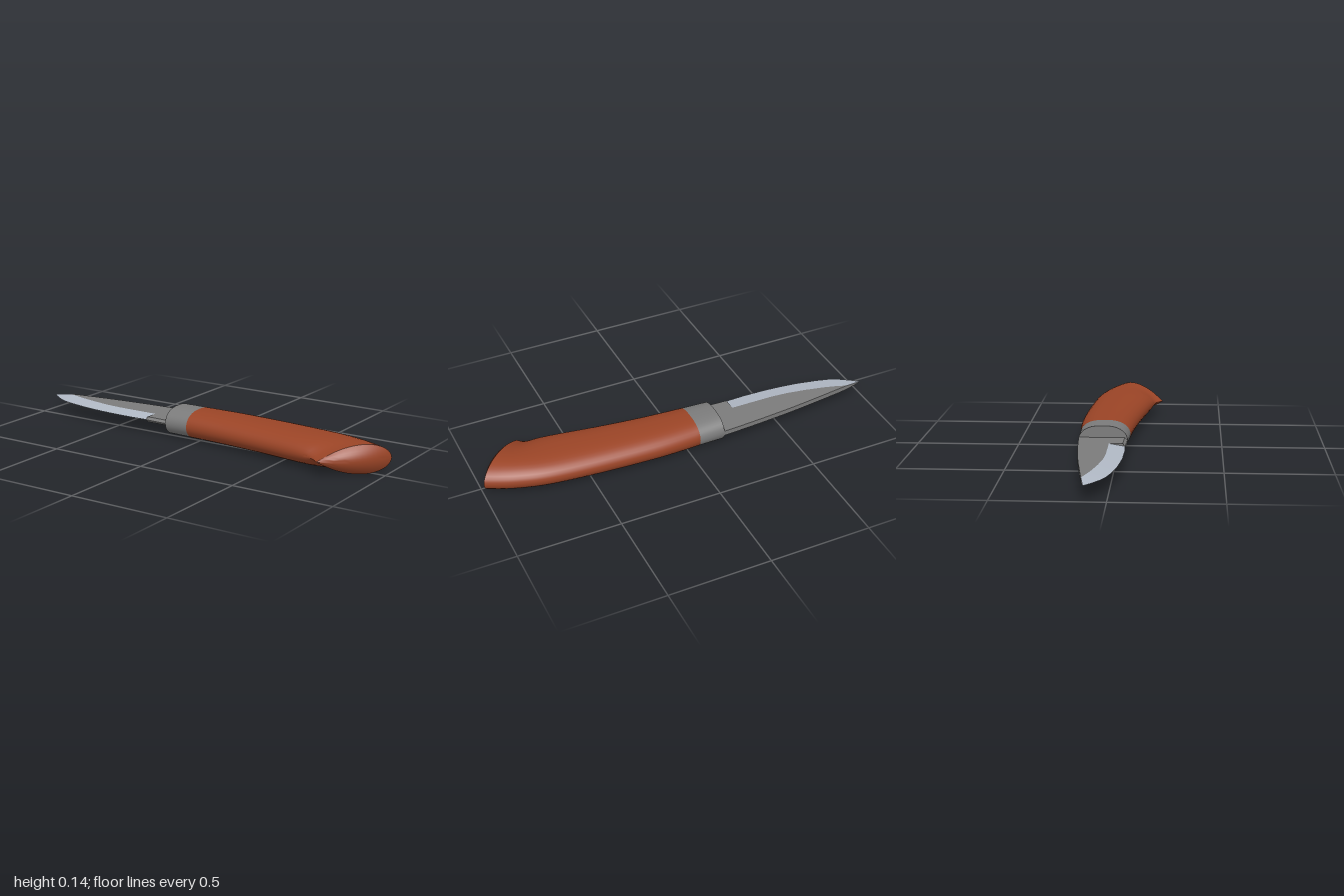
import * as THREE from 'three';
import { toCreasedNormals } from 'three/addons/utils/BufferGeometryUtils.js';

const MID = 0.07; // height of the knife's centre plane
const HALF = 0.07; // half thickness of the grip

const handleMat = new THREE.MeshStandardMaterial({ color: 0x9a4426 });
handleMat.name = 'handle wood';
const steelMat = new THREE.MeshStandardMaterial({ color: 0x7b7b7b });
steelMat.name = 'dark steel';
const edgeMat = new THREE.MeshStandardMaterial({ color: 0xb0b8c4 });
edgeMat.name = 'ground edge';

// Skins rows of [x, y, z] points; rows may be closed loops with end caps.
function loft(name, rows, material, { closed = true, start = false, end = false, crease = 0.6 } = {}) {
  const n = rows[0].length;
  const index = [];
  for (let r = 0; r < rows.length - 1; r++) {
    for (let i = 0; i < (closed ? n : n - 1); i++) {
      const a = r * n + i, b = r * n + (i + 1) % n;
      index.push(a, b, a + n, b, b + n, a + n);
    }
  }
  const last = (rows.length - 1) * n;
  for (let i = 1; i < n - 1; i++) {
    if (start) index.push(0, i + 1, i);
    if (end) index.push(last, last + i, last + i + 1);
  }
  const geo = new THREE.BufferGeometry();
  geo.setAttribute('position', new THREE.Float32BufferAttribute(rows.flat(2), 3));
  geo.setIndex(index);
  const mesh = new THREE.Mesh(toCreasedNormals(geo, crease), material);
  mesh.name = name;
  return mesh;
}

// Half thickness across the grip: u = 0 at the back, 1 at the front
const oval = (u) => HALF * Math.sqrt(Math.max(0, 1 - Math.abs(2 * u - 1) ** 2.6));
const beak = (u) => (u < 0.36
  ? HALF * Math.sqrt(Math.max(0, 1 - ((0.36 - u) / 0.36) ** 2))
  : HALF * (1 - ((u - 0.36) / 0.64) ** 2));

const SIDE = 20;
const across = (i) => (1 - Math.cos(Math.PI * i / SIDE)) / 2;

// Cross-section between a back and a front point, blending from oval to beak
function section(back, front, blend) {
  const ring = [];
  for (let i = 0; i < 2 * SIDE; i++) {
    const u = across(i <= SIDE ? i : 2 * SIDE - i);
    const h = THREE.MathUtils.lerp(oval(u), beak(u), blend) * (i <= SIDE ? 1 : -1);
    const p = back.clone().lerp(front, u);
    ring.push([p.x, MID + h, p.y]);
  }
  return ring;
}

const points = (list) => list.map(([x, z]) => new THREE.Vector2(x, z));

export function createModel() {
  const knife = new THREE.Group();
  knife.name = 'knife';

  // Handle: sections fan out towards the slanted butt
  const back = new THREE.SplineCurve(points([[-0.05, -0.19], [0.15, -0.197], [0.4, -0.187],
    [0.62, -0.17], [0.75, -0.151], [0.86, -0.12], [0.93, -0.093], [1, -0.06]]));
  const front = new THREE.SplineCurve(points([[-0.05, 0.055], [0.15, 0.071], [0.36, 0.096],
    [0.55, 0.125], [0.65, 0.143], [0.69, 0.152], [0.72, 0.166], [0.75, 0.192]]));
  const rings = [];
  for (let i = 0; i <= 42; i++) {
    const t = i / 42;
    rings.push(section(back.getPoint(t), front.getPoint(t), THREE.MathUtils.smoothstep(t, 0.4, 1)));
  }
  knife.add(loft('handle', rings, handleMat));

  // Butt: bulging lens that closes the handle
  const b = back.getPoint(1), f = front.getPoint(1);
  const cap = [];
  for (let j = 0; j <= 12; j++) {
    const v = 1 - j / 6;
    const row = [];
    for (let i = 0; i <= SIDE; i++) {
      const u = across(i);
      const p = b.clone().lerp(f, u);
      const bulge = 0.035 * Math.SQRT1_2 * 4 * u * (1 - u) * (1 - v * v);
      row.push([p.x + bulge, MID + v * beak(u), p.y + bulge]);
    }
    cap.push(row);
  }
  knife.add(loft('butt', cap, handleMat, { closed: false }));

  // Bolster: steel collar at the head of the handle
  const collar = [[-0.18, -0.188, 0.047], [-0.05, -0.19, 0.055]].map(([x, z0, z1]) =>
    section(new THREE.Vector2(x, z0), new THREE.Vector2(x, z1), 0));
  knife.add(loft('bolster', collar, steelMat, { start: true }));

  // Blade stations: x, spine z, bevel line z, edge z, half thickness
  const blade = [
    [-1, -0.1, -0.1, -0.1, 0],
    [-0.97, -0.105, -0.105, -0.074, 0.005],
    [-0.91, -0.115, -0.114, -0.034, 0.012],
    [-0.86, -0.122, -0.097, -0.012, 0.013],
    [-0.8, -0.13, -0.08, 0.004, 0.013],
    [-0.7, -0.143, -0.058, 0.024, 0.013],
    [-0.6, -0.155, -0.042, 0.036, 0.013],
    [-0.52, -0.163, -0.036, 0.042, 0.013],
    [-0.4, -0.173, -0.035, 0.045, 0.013],
    [-0.3, -0.18, -0.035, 0.042, 0.013],
  ];
  const body = blade.map(([x, s, m, , h]) =>
    [[x, MID - h, s], [x, MID + h, s], [x, MID + h, m], [x, MID - h, m]]);
  knife.add(loft('bladeBody', body, steelMat, { end: true }));

  // Bevels on both faces, meeting at the cutting edge
  const bevel = blade.map(([x, , m, e, h]) =>
    [[x, MID + h, m], [x, MID, e], [x, MID - h, m]]);
  knife.add(loft('bladeEdge', bevel, edgeMat, { closed: false, crease: 0.12 }));

  // Unsharpened heel between blade and bolster
  const heel = [[-0.3, -0.18, 0.03, 0.042], [-0.17, -0.187, 0.034, 0.047]].map(([x, s, m, e]) =>
    [[x, MID - 0.013, s], [x, MID + 0.013, s], [x, MID + 0.013, m], [x, MID, e], [x, MID - 0.013, m]]);
  knife.add(loft('bladeHeel', heel, steelMat, { start: true, end: true }));

  return knife;
}
